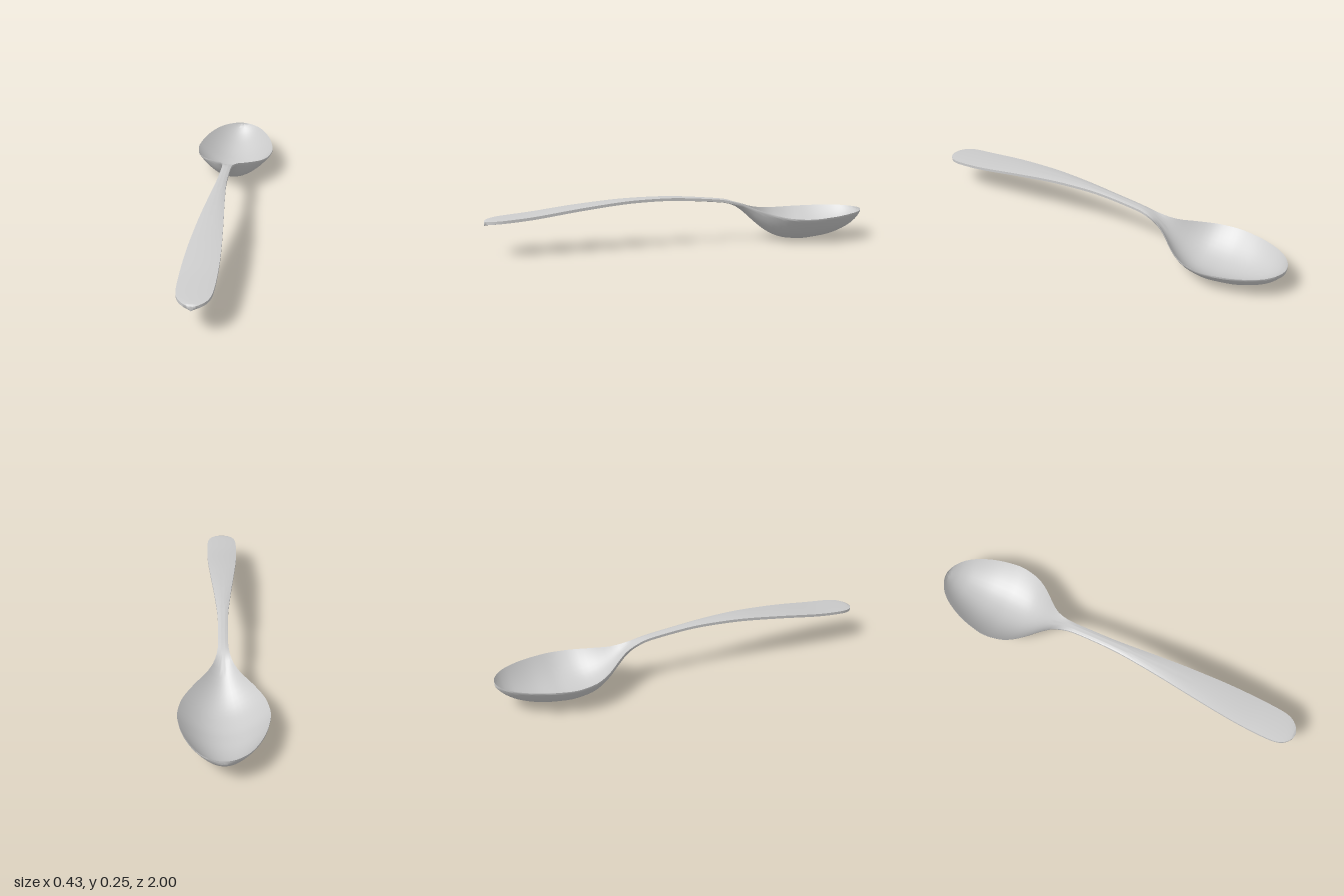
import * as THREE from 'three';
import { toCreasedNormals } from 'three/addons/utils/BufferGeometryUtils.js';

// Profiles along the length, as [z, value]; the bowl tip is z = -1, the handle end z = 1.
const halfWidth = [[-1, 0], [-0.98, 0.066], [-0.95, 0.105], [-0.9, 0.143], [-0.8, 0.188], [-0.7, 0.211],
  [-0.65, 0.214], [-0.6, 0.207], [-0.55, 0.193], [-0.5, 0.166], [-0.45, 0.129], [-0.4, 0.085], [-0.35, 0.051],
  [-0.3, 0.034], [-0.25, 0.026], [-0.2, 0.024], [0, 0.027], [0.2, 0.043], [0.4, 0.062], [0.6, 0.078],
  [0.75, 0.084], [0.9, 0.081], [0.95, 0.069], [0.98, 0.046], [1, 0]];
const underside = [[-1, 0.138], [-0.98, 0.105], [-0.95, 0.078], [-0.9, 0.049], [-0.8, 0.017], [-0.7, 0.004],
  [-0.65, 0.001], [-0.55, 0.011], [-0.5, 0.029], [-0.45, 0.058], [-0.4, 0.098], [-0.35, 0.143], [-0.3, 0.183],
  [-0.25, 0.204], [-0.2, 0.212], [0, 0.229], [0.12, 0.233], [0.3, 0.228], [0.5, 0.209], [0.8, 0.171], [1, 0.146]];
const rimHeight = [[-1, 0.15], [-0.9, 0.146], [-0.7, 0.137], [-0.6, 0.136], [-0.5, 0.145], [-0.4, 0.171],
  [-0.35, 0.19], [-0.3, 0.206], [-0.25, 0.22], [-0.2, 0.229], [0, 0.246], [0.12, 0.25], [0.3, 0.246],
  [0.5, 0.228], [0.8, 0.191], [1, 0.169]];
const thickness = [[-1, 0.012], [-0.5, 0.014], [-0.35, 0.018], [-0.2, 0.021], [0.2, 0.023], [1, 0.024]];

// Smooth interpolation in the angle s, where z = -cos(s), so both ends round off.
function profile(table) {
  const pts = table.map(([z, v]) => [Math.acos(-z), v]);
  const slope = (i) => {
    const a = pts[Math.max(i - 1, 0)], b = pts[Math.min(i + 1, pts.length - 1)];
    return (b[1] - a[1]) / (b[0] - a[0]);
  };
  return (s) => {
    let i = 0;
    while (i < pts.length - 2 && s > pts[i + 1][0]) i++;
    const [s0, v0] = pts[i], [s1, v1] = pts[i + 1], h = s1 - s0;
    const t = (s - s0) / h, t2 = t * t, t3 = t2 * t;
    return v0 * (2 * t3 - 3 * t2 + 1) + v1 * (3 * t2 - 2 * t3)
      + h * (slope(i) * (t3 - 2 * t2 + t) + slope(i + 1) * (t3 - t2));
  };
}

// Dished cross-sections lofted from bowl tip to handle end.
function spoonGeometry(stations = 96, across = 20) {
  const [w, base, rim, thick] = [halfWidth, underside, rimHeight, thickness].map(profile);
  const positions = [], index = [], ring = 2 * (across + 1);
  for (let i = 0; i <= stations; i++) {
    const s = Math.PI * i / stations;
    const width = Math.max(w(s), 0), b = base(s), r = rim(s), t = thick(s);
    for (let j = 0; j < ring; j++) {
      const top = j <= across;
      const k = top ? j : ring - 1 - j;
      const u = Math.sin((k / across - 0.5) * Math.PI);
      const low = top ? b + t : b;
      const edge = top ? r : r - 0.6 * t;
      positions.push(u * width, low + (edge - low) * Math.abs(u) ** 2.1, -Math.cos(s));
    }
  }
  for (let i = 0; i < stations; i++) {
    for (let j = 0; j < ring; j++) {
      const n = (j + 1) % ring;
      const a = i * ring + j, b = i * ring + n, c = a + ring, d = b + ring;
      index.push(a, c, b, b, c, d);
    }
  }
  const geometry = new THREE.BufferGeometry();
  geometry.setAttribute('position', new THREE.Float32BufferAttribute(positions, 3));
  geometry.setIndex(index);
  return toCreasedNormals(geometry, 0.8);
}

export function createModel() {
  const group = new THREE.Group();
  group.name = 'spoon';
  // Bowl, neck and handle are one continuous piece of metal.
  const body = new THREE.Mesh(spoonGeometry(), new THREE.MeshStandardMaterial({ color: 0xcccccc }));
  body.name = 'bowlAndHandle';
  group.add(body);
  return group;
}
